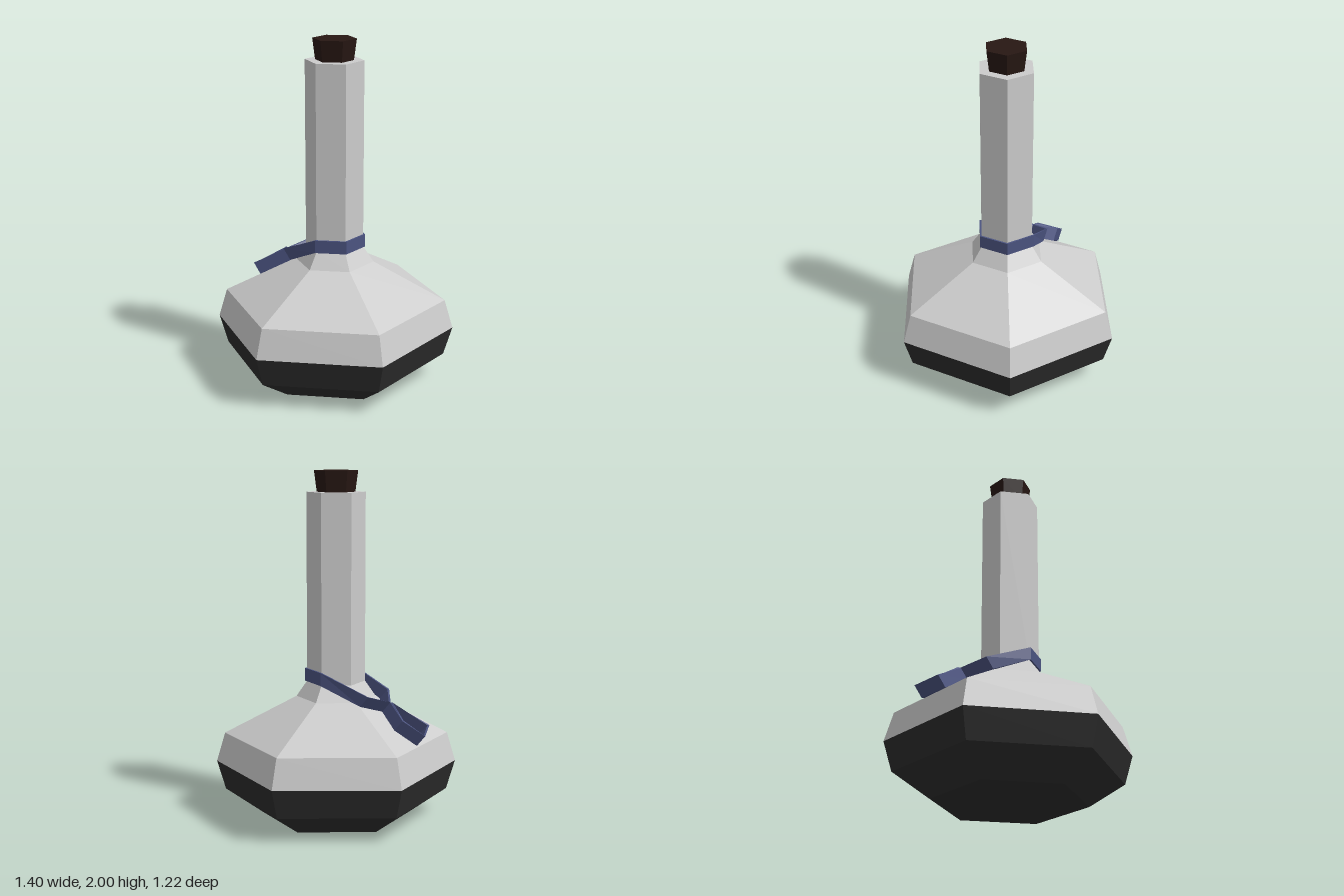
import * as THREE from 'three';

const flat = (color) => new THREE.MeshStandardMaterial({ color, flatShading: true });

// Six-sided turned part, with corners on the x axis
function hexLathe(name, profile, material) {
  const points = profile.map(([r, y]) => new THREE.Vector2(r, y));
  const mesh = new THREE.Mesh(new THREE.LatheGeometry(points, 6, Math.PI / 2), material);
  mesh.name = name;
  return mesh;
}

// Closed thin band: each point is its outer top corner [x, y, z] plus the drop
// to the lower edge [dy, dz]; points run clockwise seen from above
function band(name, path, thickness, material) {
  const n = path.length;
  const normal = (i) => {
    const a = path[(i + n) % n], b = path[(i + 1) % n];
    return new THREE.Vector2(b[2] - a[2], a[0] - b[0]).normalize();
  };
  const rings = path.map(([x, y, z, dy, dz], i) => {
    const n0 = normal(i - 1), n1 = normal(i);
    const miter = n0.clone().add(n1).multiplyScalar(thickness / (1 + n0.dot(n1)));
    const ix = x - miter.x, iz = z - miter.y;
    return [[x, y, z], [x, y + dy, z + dz], [ix, y + dy, iz + dz], [ix, y, iz]];
  });
  const pos = [];
  for (let i = 0; i < n; i++) {
    const a = rings[i], b = rings[(i + 1) % n];
    for (let k = 0; k < 4; k++) {
      const m = (k + 1) % 4;
      pos.push(...a[k], ...b[k], ...a[m], ...b[k], ...b[m], ...a[m]);
    }
  }
  const geometry = new THREE.BufferGeometry();
  geometry.setAttribute('position', new THREE.Float32BufferAttribute(pos, 3));
  geometry.computeVertexNormals();
  const mesh = new THREE.Mesh(geometry, material);
  mesh.name = name;
  return mesh;
}

export function createModel() {
  const group = new THREE.Group();
  group.name = 'flask';
  const glass = flat(0xcccccc);
  const dark = flat(0x2c2c2c);
  const cork = flat(0x271713);
  const cloth = flat(0x4b5380);

  // Dark lower bowl, pale upper bowl with neck, and stopper
  group.add(hexLathe('lowerBowl', [[0, 0], [0.44, 0], [0.65, 0.14], [0.7, 0.31]], dark));
  group.add(hexLathe('upperBowlAndNeck',
    [[0.7, 0.31], [0.65, 0.48], [0.23, 0.7], [0.168, 0.79], [0.168, 1.88], [0, 1.88]], glass));
  group.add(hexLathe('stopper', [[0, 1.87], [0.108, 1.87], [0.125, 2], [0, 2]], cork));

  // Strap round the neck, falling back over the shoulder to a knot
  const up = [-0.075, 0], lean = [-0.06, 0.05];
  group.add(band('neckStrap', [
    [0, 0.7, -0.357, ...lean],
    [0.13, 0.745, -0.28, ...lean],
    [0.18, 0.865, 0, ...up],
    [0.09, 0.865, 0.156, ...up],
    [-0.09, 0.865, 0.156, ...up],
    [-0.18, 0.865, 0, ...up],
    [-0.13, 0.745, -0.28, ...lean],
  ], 0.01, cloth));

  // Small loop hanging behind the knot
  group.add(band('strapLoop', [
    [0, 0.7, -0.352, ...lean],
    [-0.077, 0.577, -0.565, ...lean],
    [0.072, 0.55, -0.61, ...lean],
    [0.1, 0.627, -0.482, ...lean],
  ], 0.01, cloth));

  return group;
}
